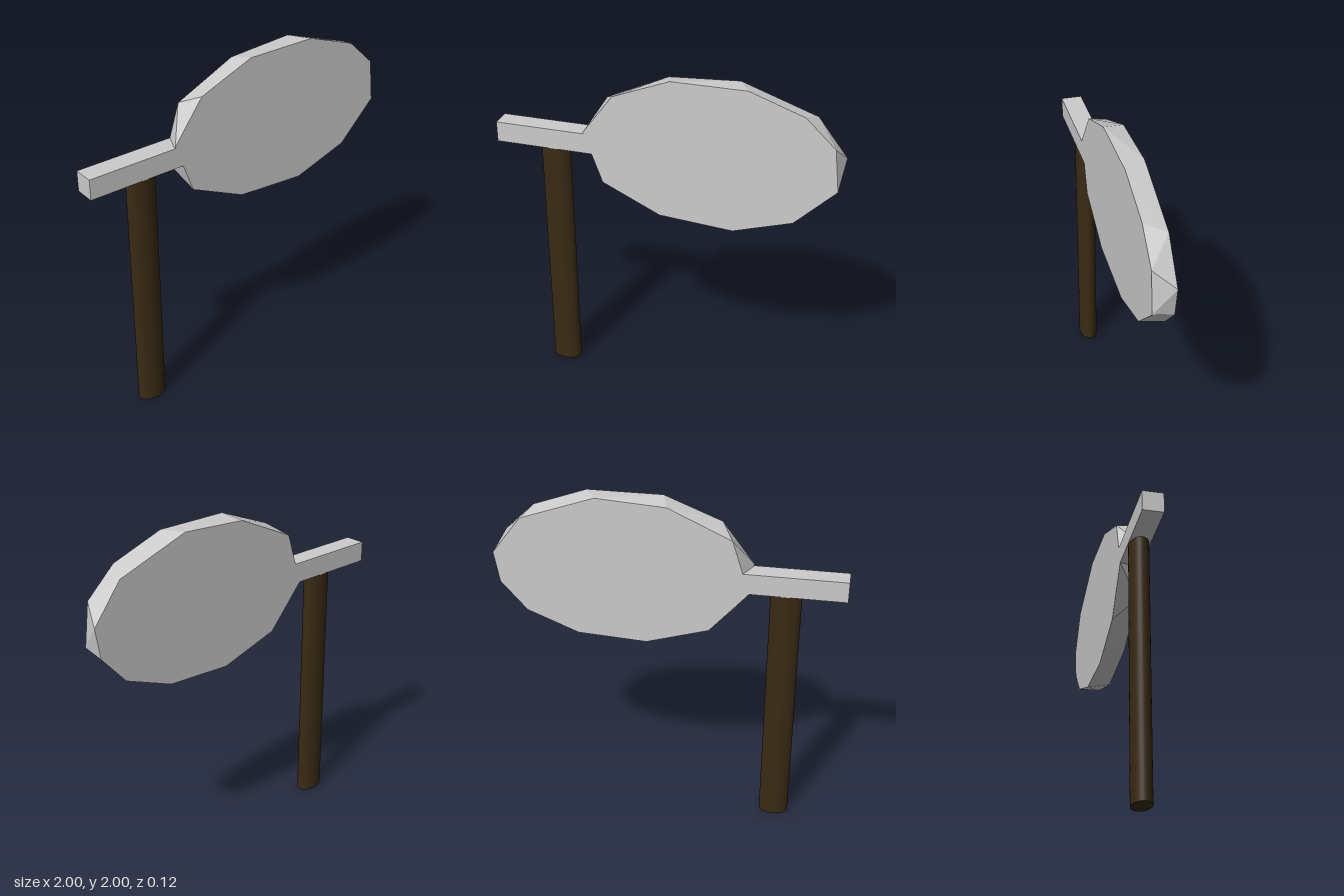
import * as THREE from 'three';
import { ConvexGeometry } from 'three/addons/geometries/ConvexGeometry.js';

const DEPTH = 0.06; // half thickness of the panel and arm

export function createModel() {
  const group = new THREE.Group();
  const grey = new THREE.MeshStandardMaterial({ color: 0xcccccc, flatShading: true });
  const brown = new THREE.MeshStandardMaterial({ color: 0x3a2a14 });

  const add = (name, geometry, material, x = 0, y = 0, z = 0) => {
    const mesh = new THREE.Mesh(geometry, material);
    mesh.name = name;
    mesh.position.set(x, y, z);
    group.add(mesh);
    return mesh;
  };

  // Faceted oval panel: two irregular outlines, slightly turned against each other
  const front = [
    [-0.47, 1.63], [-0.29, 1.87], [0.04, 2], [0.47, 2], [0.78, 1.89], [0.95, 1.73],
    [0.98, 1.48], [0.75, 1.25], [0.41, 1.14], [-0.02, 1.17], [-0.36, 1.33],
  ];
  const back = [
    [-0.46, 1.5], [-0.36, 1.81], [0, 1.975], [0.4, 2], [0.83, 1.85], [1, 1.63],
    [0.97, 1.45], [0.82, 1.28], [0.52, 1.16], [0.12, 1.14], [-0.24, 1.25],
  ];
  const at = (outline, z) => outline.map(([x, y]) => new THREE.Vector3(x, y, z));
  add('ovalPanel', new ConvexGeometry([...at(front, DEPTH), ...at(back, -DEPTH)]), grey);

  // Square arm running into the side of the panel
  add('arm', new THREE.BoxGeometry(0.58, 0.12, 2 * DEPTH), grey, -0.71, 1.56);

  // Smooth post with an oval section
  const post = add('post', new THREE.CylinderGeometry(1, 1, 1.5, 32), brown, -0.66, 0.75);
  post.scale.set(0.088, 1, 0.056);

  return group;
}
